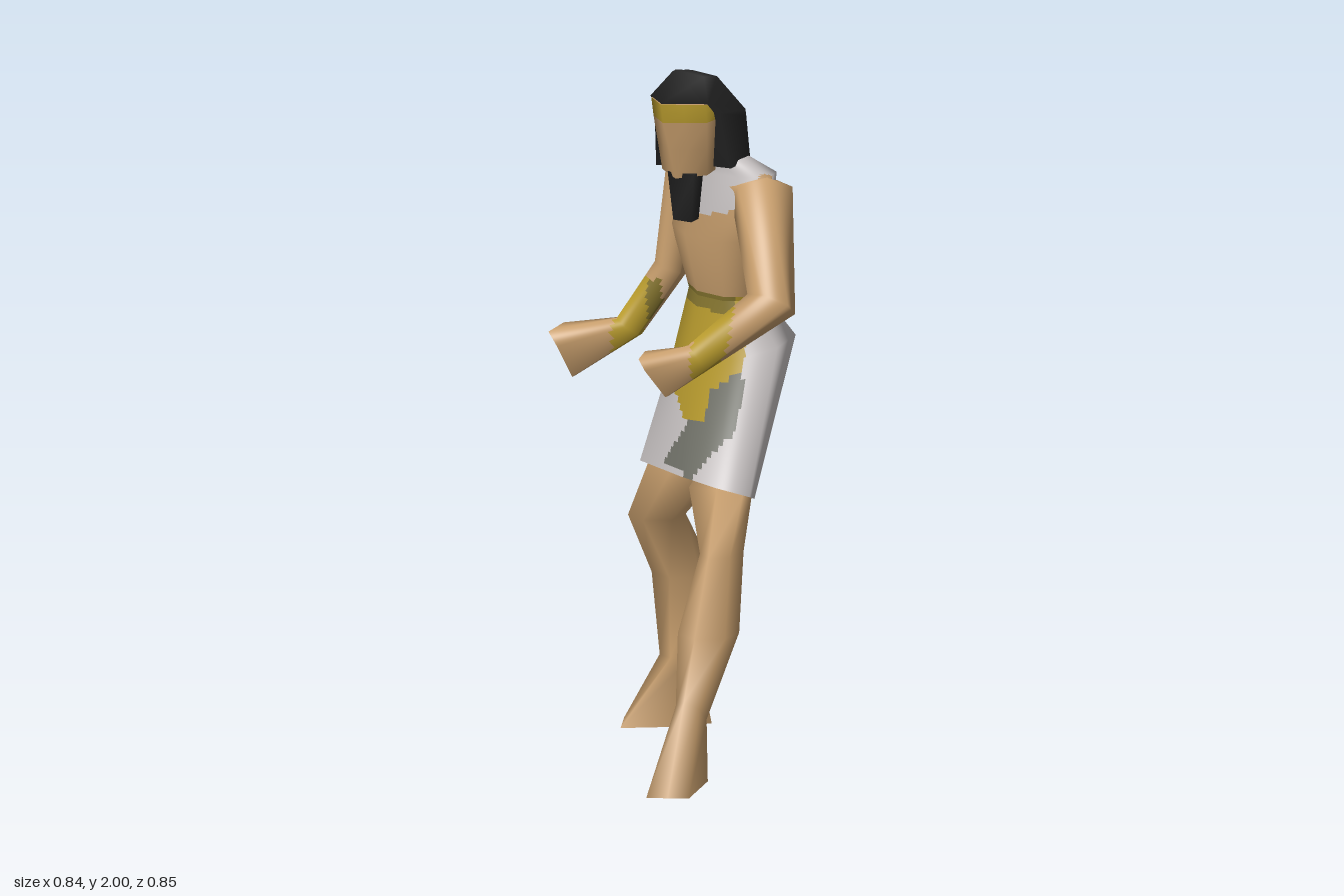
import * as THREE from 'three';

const mat = (name, color) => {
  const m = new THREE.MeshStandardMaterial({ color });
  m.name = name;
  return m;
};
const V = (p) => new THREE.Vector3(...p);

// Closed loft through rings listed top to bottom; ring points run front, left, back, right.
// Cells are refined so that paint(point, frontness) can choose a material for each one.
function loft(name, rings, base, paint = () => base, sub = 1) {
  const n = rings[0].length;
  const coarse = new THREE.BufferGeometry();
  const idx = [];
  for (let i = 0; i < rings.length - 1; i++) {
    for (let j = 0; j < n; j++) {
      const a = i * n + j, b = i * n + (j + 1) % n;
      idx.push(a, a + n, b, b, a + n, b + n);
    }
  }
  coarse.setAttribute('position', new THREE.Float32BufferAttribute(rings.flat(2), 3));
  coarse.setIndex(idx);
  coarse.computeVertexNormals();
  const get = (attr, i, j) => new THREE.Vector3().fromBufferAttribute(coarse.attributes[attr], i * n + j % n);
  const sample = (attr, i, j, u, v) =>
    get(attr, i, j).lerp(get(attr, i, j + 1), u).lerp(get(attr, i + 1, j).lerp(get(attr, i + 1, j + 1), u), v);

  const buckets = new Map();
  const put = (m, p, q) => {
    if (!buckets.has(m)) buckets.set(m, { pos: [], nor: [] });
    buckets.get(m).pos.push(...p.toArray());
    buckets.get(m).nor.push(...q.normalize().toArray());
  };
  for (let i = 0; i < rings.length - 1; i++) {
    for (let j = 0; j < n; j++) {
      for (let s = 0; s < sub; s++) {
        for (let t = 0; t < sub; t++) {
          const mid = sample('position', i, j, (s + 0.5) / sub, (t + 0.5) / sub);
          const m = paint(mid, Math.cos((j + (s + 0.5) / sub) / n * Math.PI * 2));
          for (const [a, b] of [[0, 0], [0, 1], [1, 0], [1, 0], [0, 1], [1, 1]]) {
            const u = (s + a) / sub, v = (t + b) / sub;
            put(m, sample('position', i, j, u, v), sample('normal', i, j, u, v));
          }
        }
      }
    }
  }
  // end caps
  for (const [ring, flip] of [[rings[0], false], [rings[rings.length - 1], true]]) {
    const c = ring.reduce((sum, p) => sum.add(V(p)), V([0, 0, 0])).divideScalar(n);
    for (let j = 0; j < n; j++) {
      const tri = [V(ring[j]), V(ring[(j + 1) % n]), c];
      if (flip) tri.reverse();
      const q = tri[1].clone().sub(tri[0]).cross(tri[2].clone().sub(tri[0]));
      tri.forEach((p) => put(base, p, q.clone()));
    }
  }
  const geo = new THREE.BufferGeometry(), pos = [], nor = [], mats = [];
  for (const [m, d] of buckets) {
    geo.addGroup(pos.length / 3, d.pos.length / 3, mats.length);
    mats.push(m);
    for (const x of d.pos) pos.push(x);
    for (const x of d.nor) nor.push(x);
  }
  geo.setAttribute('position', new THREE.Float32BufferAttribute(pos, 3));
  geo.setAttribute('normal', new THREE.Float32BufferAttribute(nor, 3));
  const mesh = new THREE.Mesh(geo, mats);
  mesh.name = name;
  return mesh;
}

// Eight-sided oval turned with the body, which faces towards -x and +z
const bodyRing = (x, y, z, w, d, tilt = 0) => Array.from({ length: 8 }, (_, i) => {
  const c = Math.cos(i * Math.PI / 4) * d, s = Math.sin(i * Math.PI / 4) * w;
  return [x - 0.53 * c + 0.85 * s, y + tilt * s, z + 0.85 * c + 0.53 * s];
});

// Six-sided leg ring filling the given extents
const legRing = (x0, x1, z0, z1, y, lift = 0) => Array.from({ length: 6 }, (_, i) => {
  const c = Math.cos(i * Math.PI / 3), s = Math.sin(i * Math.PI / 3) / 0.866;
  return [(x0 + x1) / 2 + s * (x1 - x0) / 2, y + c * lift, (z0 + z1) / 2 + c * (z1 - z0) / 2];
});

// Rings square to a path of [x, y, z, radius, radius2], closed by the given hand ring
const armRings = (path, hand) => [...path.map((p, i) => {
  const a = V(path[Math.max(i - 1, 0)]), b = V(path[Math.min(i + 1, path.length - 1)]);
  const t = b.sub(a).normalize();
  const f = new THREE.Vector3(0, 0, 1).addScaledVector(t, -t.z).normalize();
  const l = f.clone().cross(t);
  return Array.from({ length: 6 }, (_, k) => V(p)
    .addScaledVector(f, Math.cos(k * Math.PI / 3) * p[3])
    .addScaledVector(l, Math.sin(k * Math.PI / 3) * p[4]).toArray());
}), hand];

export function createModel() {
  const skin = mat('skin', 0xc69d6c), cloth = mat('white cloth', 0xcbc6c6), gold = mat('gold', 0xb89b2e);
  const dark = mat('dark trim', 0x73746b), hair = mat('black hair', 0x222222), olive = mat('dark gold', 0x85752f);
  const model = new THREE.Group();
  model.name = 'figure';

  // belt rising towards the back, gold over dark gold
  const belt = (y, f) => {
    if (y > 1.335 + 0.05 * Math.max(0, -f)) return null;
    if (f > 0.45) return y > 1.285 ? olive : null;
    if (y > 1.3 - 0.03 * f) return gold;
    return y > 1.25 - 0.03 * f ? olive : null;
  };

  // torso with collar
  const waist = bodyRing(0.085, 1.32, -0.23, 0.135, 0.095);
  const torsoPaint = (p, f) => {
    const side = (p.x - 0.075) * 0.85 + (p.z + 0.235) * 0.53;
    if (Math.abs(side / 0.21) ** 3 + Math.abs((p.y - 1.74) / (f > 0 ? 0.17 : 0.115)) ** 3 < 1) return cloth;
    return belt(p.y, f) ?? skin;
  };
  model.add(loft('torso', [
    bodyRing(0.05, 1.8, -0.13, 0.05, 0.05),
    bodyRing(0.06, 1.745, -0.19, 0.09, 0.07),
    bodyRing(0.085, 1.68, -0.24, 0.225, 0.09, 0.08),
    bodyRing(0.065, 1.5, -0.23, 0.19, 0.118),
    waist,
  ], skin, torsoPaint, 14));

  // kilt with gold apron and dark diagonal fold
  const kiltPaint = (p, f) => {
    if (f > 0.15 && p.x > -0.07 && p.x < 0.19) {
      const apronEnd = p.x > 0.1 ? 1.06 + (p.x - 0.1) * 0.7 : 0.97 + Math.max(0, 0.01 - p.x) * 1.2;
      if (p.y > apronEnd) return belt(p.y, f) === olive ? olive : gold;
    }
    if (f > 0 && p.y < 1.11 && p.y > 0.815 && p.x > 0.1 - (1.06 - p.y) * 0.7
      && p.x < 0.205 - Math.max(0, 0.96 - p.y) * 0.9) return dark;
    return belt(p.y, f) ?? cloth;
  };
  model.add(loft('kilt', [
    waist,
    [[0.02, 1.13, -0.125], [0.16, 1.15, -0.11], [0.26, 1.18, -0.2], [0.255, 1.19, -0.325],
      [0.1, 1.19, -0.425], [-0.02, 1.17, -0.385], [-0.075, 1.15, -0.3], [-0.07, 1.13, -0.2]],
    [[0.02, 0.805, -0.075], [0.19, 0.82, 0.045], [0.27, 0.79, -0.01], [0.265, 0.775, -0.05],
      [0.1, 0.75, -0.21], [-0.04, 0.745, -0.35], [-0.165, 0.8, -0.35], [-0.175, 0.8, -0.2]],
  ], cloth, kiltPaint, 18));

  // legs ending in flat-soled feet
  model.add(loft('leftLeg', [
    legRing(0.1, 0.2, -0.2, -0.1, 0.9),
    [[0.17, 0.8, 0], [0.25, 0.79, -0.005], [0.25, 0.77, -0.06], [0.13, 0.74, -0.17], [0.05, 0.75, -0.18], [0.05, 0.78, -0.065]],
    legRing(0.155, 0.25, -0.055, 0.115, 0.63),
    legRing(0.12, 0.27, 0.01, 0.185, 0.41),
    legRing(0.155, 0.23, 0.155, 0.245, 0.2, 0.04),
    [[0.22, 0, 0.4], [0.275, 0, 0.375], [0.235, 0, 0.18], [0.195, 0, 0.14], [0.155, 0, 0.18], [0.165, 0, 0.425]],
  ], skin));
  model.add(loft('rightLeg', [
    legRing(-0.06, 0.02, -0.32, -0.2, 0.9),
    [[-0.06, 0.79, -0.165], [0.03, 0.77, -0.19], [0.03, 0.75, -0.26], [-0.05, 0.75, -0.335], [-0.15, 0.79, -0.335], [-0.16, 0.79, -0.22]],
    legRing(-0.235, -0.095, -0.37, -0.2, 0.625),
    legRing(-0.19, -0.035, -0.425, -0.26, 0.45),
    legRing(-0.185, -0.09, -0.42, -0.315, 0.2),
    [[-0.255, 0, -0.235], [-0.12, 0, -0.32], [-0.05, 0, -0.4], [-0.07, 0, -0.415], [-0.18, 0, -0.39], [-0.3, 0, -0.345]],
  ], skin));

  // arms with gold wrist bands and wedge-shaped hands
  model.add(loft('leftArm', armRings([
    [0.12, 1.64, -0.22, 0.07, 0.05],
    [0.235, 1.63, -0.16, 0.1, 0.085],
    [0.352, 1.37, 0.015, 0.068, 0.075],
    [0.18, 1.22, 0.135, 0.035, 0.05],
  ], [[0.035, 1.175, 0.18], [0.09, 1.1, 0.16], [0.09, 1.1, 0.14], [0.025, 1.175, 0.115],
    [-0.005, 1.21, 0.1], [0.02, 1.21, 0.19]]),
  skin, (p, f) => {
    if (p.y - 0.4 * p.x > 1.6) return cloth;
    return p.x > 0.17 && p.x < 0.245 + 0.03 * f && p.z > 0.05 ? gold : skin;
  }, 12));
  model.add(loft('rightArm', armRings([
    [0, 1.64, -0.29, 0.06, 0.045],
    [-0.07, 1.645, -0.3, 0.08, 0.065],
    [-0.11, 1.36, -0.265, 0.05, 0.048],
    [-0.225, 1.18, -0.232, 0.035, 0.045],
  ], [[-0.405, 1.12, -0.135], [-0.37, 1.03, -0.16], [-0.37, 1.03, -0.18], [-0.405, 1.12, -0.2],
    [-0.425, 1.17, -0.215], [-0.425, 1.165, -0.12]]),
  skin, (p, f) => {
    if (p.x < -0.26 || p.y > 1.33 || p.x > (f > 0 ? -0.12 : -0.18)) return skin;
    return p.x > -0.16 ? olive : gold;
  }, 12));

  // face with gold brow band
  model.add(loft('face', [
    [[0.008, 1.915, 0.028], [0.118, 1.912, -0.033], [0.13, 1.9, -0.14], [0.06, 1.9, -0.16], [0, 1.9, -0.15], [-0.06, 1.912, -0.045]],
    [[0.012, 1.86, 0.022], [0.122, 1.86, -0.035], [0.13, 1.86, -0.14], [0.06, 1.86, -0.16], [0, 1.86, -0.15], [-0.05, 1.86, -0.04]],
    [[0.03, 1.69, -0.02], [0.11, 1.7, -0.06], [0.1, 1.7, -0.14], [0.06, 1.7, -0.16], [0, 1.7, -0.14], [-0.035, 1.7, -0.065]],
  ], skin, (p) => (p.y > 1.86 ? gold : skin), 2));

  // long hair falling behind the face
  model.add(loft('hair', [
    Array(6).fill([0.045, 1.99, -0.1]),
    [[0.015, 2, -0.05], [0.09, 1.98, -0.08], [0.1, 1.97, -0.14], [0.065, 1.96, -0.175], [0, 1.975, -0.15], [-0.01, 1.985, -0.08]],
    [[0.01, 1.917, 0.026], [0.122, 1.915, -0.04], [0.165, 1.87, -0.19], [0.08, 1.88, -0.235], [-0.03, 1.88, -0.2], [-0.07, 1.912, -0.06]],
    [[0.03, 1.89, -0.07], [0.14, 1.88, -0.075], [0.166, 1.85, -0.193], [0.08, 1.86, -0.245], [-0.03, 1.86, -0.207], [-0.07, 1.88, -0.085]],
    [[0.04, 1.71, -0.12], [0.17, 1.72, -0.09], [0.17, 1.72, -0.21], [0.085, 1.73, -0.305], [-0.03, 1.72, -0.255], [-0.07, 1.7, -0.095]],
  ], hair));

  // tapered chin beard
  model.add(loft('beard', [
    [[0, 1.705, -0.03], [0.085, 1.705, -0.025], [0.085, 1.705, -0.085], [0.01, 1.705, -0.09]],
    [[0.015, 1.565, -0.035], [0.075, 1.565, -0.03], [0.075, 1.565, -0.075], [0.02, 1.565, -0.08]],
  ], hair));

  return model;
}
